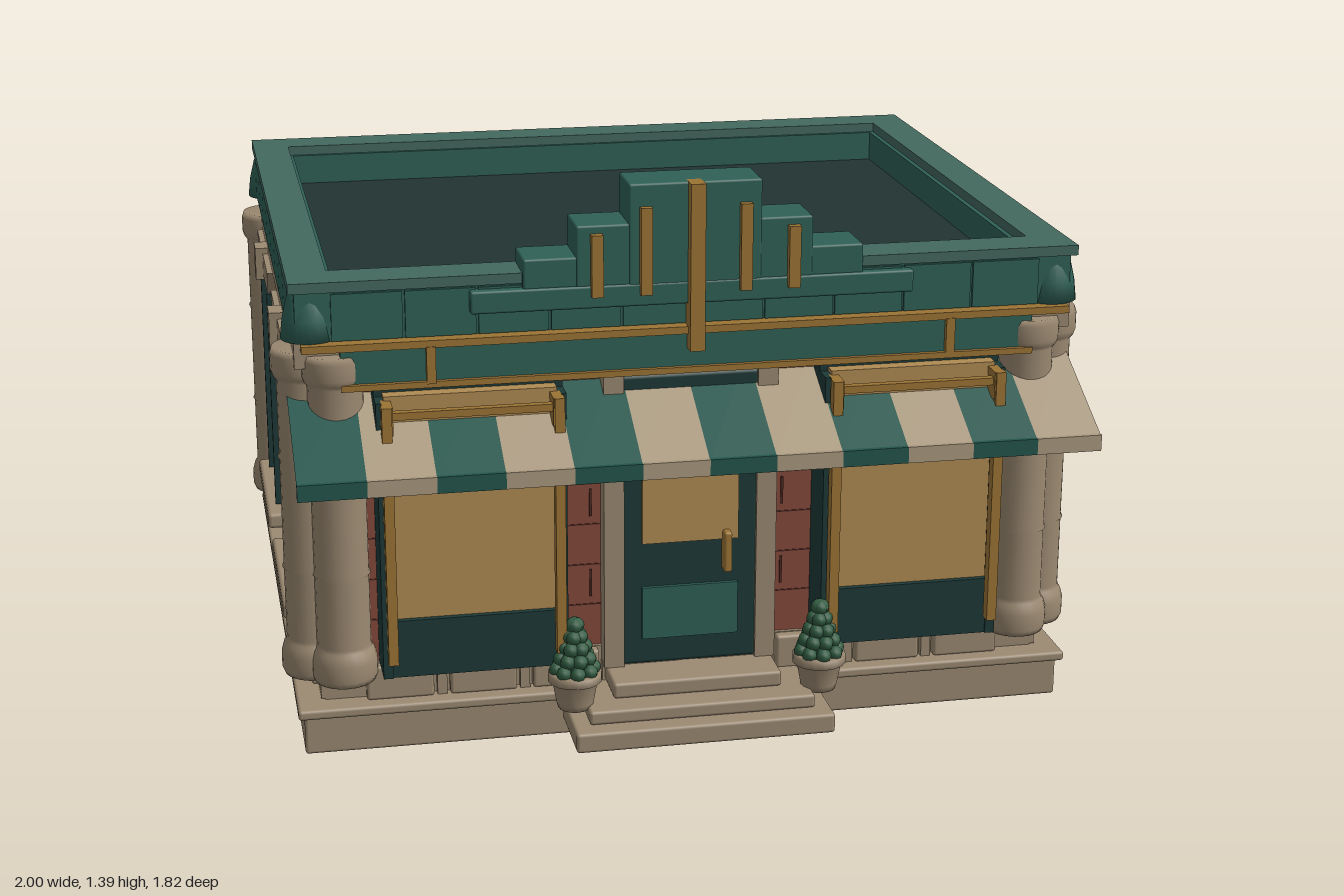
import * as THREE from 'three';
import { RoundedBoxGeometry } from 'three/addons/geometries/RoundedBoxGeometry.js';

const mat = (color, side = THREE.FrontSide) => new THREE.MeshStandardMaterial({ color, side });
const M = {
  stone: mat(0x9c8a72), brick: mat(0x844a3b), mortar: mat(0x4f2a22), green: mat(0x2f6156),
  top: mat(0x44695f), dark: mat(0x1d3a37), gold: mat(0x9c7435), pane: mat(0xb08c54),
  roof: mat(0x223331), leaf: mat(0x315c41),
  stripeGreen: mat(0x23564c, THREE.DoubleSide), stripeTan: mat(0xab9a80, THREE.DoubleSide),
};

function add(parent, name, geo, m, x = 0, y = 0, z = 0) {
  const mesh = new THREE.Mesh(geo, m);
  mesh.name = name;
  mesh.position.set(x, y, z);
  parent.add(mesh);
  return mesh;
}
// box given by its extents
function box(parent, name, m, x0, x1, y0, y1, z0, z1, r = 0) {
  const s = [x1 - x0, y1 - y0, z1 - z0];
  const geo = r ? new RoundedBoxGeometry(...s, 2, r) : new THREE.BoxGeometry(...s);
  return add(parent, name, geo, m, (x0 + x1) / 2, (y0 + y1) / 2, (z0 + z1) / 2);
}
function lathe(parent, name, m, pts, x, y, z, n = 24) {
  return add(parent, name, new THREE.LatheGeometry(pts.map(p => new THREE.Vector2(...p)), n), m, x, y, z);
}
function group(parent, name, x = 0, y = 0, z = 0, ry = 0) {
  const g = new THREE.Group();
  g.name = name;
  g.position.set(x, y, z);
  g.rotation.y = ry;
  parent.add(g);
  return g;
}

// sash window with sill, lintel and keystone; local z points out of the wall
function sashWindow(face, u) {
  const g = group(face, 'window', u);
  box(g, 'windowPane', M.pane, -0.16, 0.16, 0.33, 0.9, 0, 0.025);
  for (const s of [-1, 1]) {
    box(g, 'outerJamb', M.dark, s * 0.18 - 0.02, s * 0.18 + 0.02, 0.315, 0.93, 0, 0.055);
    box(g, 'innerJamb', M.dark, s * 0.155 - 0.01, s * 0.155 + 0.01, 0.315, 0.91, 0, 0.07);
  }
  box(g, 'headRail', M.dark, -0.2, 0.2, 0.88, 0.93, 0, 0.055);
  box(g, 'bottomRail', M.dark, -0.19, 0.19, 0.315, 0.345, 0, 0.055);
  box(g, 'mullion', M.dark, -0.009, 0.009, 0.36, 0.875, 0, 0.04);
  box(g, 'meetingRail', M.dark, -0.15, 0.15, 0.585, 0.607, 0, 0.045);
  box(g, 'sill', M.stone, -0.235, 0.235, 0.27, 0.312, 0, 0.095, 0.01);
  const wedge = (name, b, t, y0, y1, d) => {
    const s = new THREE.Shape([[-b, y0], [b, y0], [t, y1], [-t, y1]].map(p => new THREE.Vector2(...p)));
    add(g, name, new THREE.ExtrudeGeometry(s, { depth: d, bevelEnabled: false }), M.stone);
  };
  wedge('lintel', 0.205, 0.24, 0.925, 0.988, 0.07);
  wedge('keystone', 0.026, 0.036, 0.915, 1.005, 0.09);
}

// brick joints and foundation blocks along one wall
function wallDetails(face, half, offset) {
  for (let r = 0; r < 7; r++) {
    const y = 0.22 + r * 0.105;
    box(face, 'bedJoint', M.mortar, offset - half, offset + half, y + 0.102, y + 0.105, -0.01, 0.002);
    for (let u = -half + (r % 2 ? 0.1 : 0.22); u < half; u += 0.24)
      box(face, 'headJoint', M.mortar, offset + u - 0.003, offset + u + 0.003, y + 0.02, y + 0.09, -0.01, 0.004);
  }
  const n = Math.round(half / 0.1), w = 2 * half / n;
  for (let i = 0; i < n; i++) {
    const u = offset - half + w * (i + 0.5);
    box(face, 'foundationBlock', M.stone, u - w / 2 + 0.02, u + w / 2 - 0.02, 0.125, 0.213, -0.01, 0.035, 0.008);
    if (i) box(face, 'foundationPeg', M.stone, u - w / 2 - 0.012, u - w / 2 + 0.012, 0.125, 0.18, -0.01, 0.03);
  }
}

function clusteredColumns(root) {
  const profile = [[0, 0.185], [0.074, 0.185], [0.08, 0.2], [0.08, 0.24], [0.074, 0.262], [0.068, 0.27],
    [0.066, 0.28], [0.066, 0.455], [0.07, 0.46], [0.066, 0.465], [0.066, 0.735], [0.07, 0.74], [0.066, 0.745],
    [0.066, 0.935], [0.074, 0.945], [0.079, 0.96], [0.079, 1.0], [0.074, 1.015], [0, 1.015]];
  for (const sx of [-1, 1]) for (const front of [true, false]) {
    const g = group(root, 'cornerColumns');
    lathe(g, 'sideColumn', M.stone, profile, sx * 0.918, 0, front ? 0.59 : -0.765);
    lathe(g, 'faceColumn', M.stone, profile, sx * 0.85, 0, front ? 0.655 : -0.83);
    box(g, 'cornerPier', M.stone, sx * 0.86 - 0.05, sx * 0.86 + 0.05, 0.13, 1.04,
      (front ? 0.6 : -0.775) - 0.05, (front ? 0.6 : -0.775) + 0.05);
    // rounded flaring cap on the parapet corner
    lathe(g, 'cornerCap', M.green, [[0, 1.05], [0.068, 1.05], [0.062, 1.1], [0.05, 1.15], [0.03, 1.185], [0, 1.195]],
      sx * 0.905, 0, front ? 0.645 : -0.815);
  }
}

function parapet(root) {
  const zc = -0.087;
  const s = new THREE.Shape([[-0.955, -0.795], [0.955, -0.795], [0.955, 0.795], [-0.955, 0.795]].map(p => new THREE.Vector2(...p)));
  s.holes.push(new THREE.Path([[-0.858, -0.685], [-0.858, 0.685], [0.858, 0.685], [0.858, -0.685]].map(p => new THREE.Vector2(...p))));
  const ring = (name, m, y, depth, k) => {
    const geo = new THREE.ExtrudeGeometry(s, { depth, bevelEnabled: false }).rotateX(-Math.PI / 2);
    const mesh = add(root, name, geo, m, 0, y, zc);
    mesh.scale.set(k, 1, k);
  };
  ring('parapetCore', M.green, 1.05, 0.12, 0.985);
  ring('parapetCoping', M.top, 1.17, 0.025, 1);
  box(root, 'roof', M.roof, -0.87, 0.87, 1.02, 1.09, -0.78, 0.61);
  // panels with narrow seams between them
  for (const [half, dist, ry] of [[0.86, 0.785, 0], [0.86, 0.785, Math.PI], [0.7, 0.945, Math.PI / 2], [0.7, 0.945, -Math.PI / 2]]) {
    const g = group(root, 'parapetSide', 0, 0, zc, ry);
    const n = Math.round(half / 0.086), w = 2 * half / n;
    for (let i = 0; i < n; i++) {
      const u = -half + i * w;
      box(g, 'parapetPanel', M.green, u + 0.003, u + w - 0.003, 1.052, 1.165, dist - 0.03, dist + 0.007);
    }
  }
}

function storefront(root) {
  const g = group(root, 'storefront');
  // display windows with gold posts and rods
  for (const s of [-1, 1]) {
    const w = group(g, 'displayWindow', s * 0.54);
    box(w, 'displayFrame', M.dark, -0.225, 0.225, 0.215, 0.93, 0.6, 0.7);
    box(w, 'displayPane', M.pane, -0.205, 0.205, 0.36, 0.92, 0.69, 0.735);
    box(w, 'bulkhead', M.dark, -0.215, 0.215, 0.215, 0.36, 0.69, 0.75);
    for (const t of [-1, 1]) {
      box(w, 'goldPost', M.gold, t * 0.203 - 0.012, t * 0.203 + 0.012, 0.265, 0.91, 0.765, 0.795);
      box(w, 'frameEdge', M.dark, t * 0.213 - 0.012, t * 0.213 + 0.012, 0.215, 0.91, 0.69, 0.755);
      box(w, 'rodBracket', M.gold, t * 0.2 - 0.012, t * 0.2 + 0.012, 0.84, 0.91, 0.73, 0.79);
    }
    box(w, 'goldRod', M.gold, -0.21, 0.21, 0.875, 0.893, 0.76, 0.78);
    const strut = box(g, 'awningStrut', M.dark, s * 0.83 - 0.01, s * 0.83 + 0.01, 0.72, 0.74, 0.6, 0.895);
    strut.rotation.x = -0.24;
  }
  // door
  for (const s of [-1, 1]) box(g, 'doorSurround', M.stone, s * 0.19 - 0.025, s * 0.19 + 0.025, 0.17, 0.93, 0.6, 0.69);
  box(g, 'door', M.dark, -0.17, 0.17, 0.17, 0.92, 0.6, 0.68, 0.01);
  box(g, 'doorPane', M.pane, -0.12, 0.12, 0.49, 0.86, 0.66, 0.69);
  box(g, 'doorPanel', M.green, -0.12, 0.12, 0.24, 0.375, 0.66, 0.69);
  box(g, 'doorHandle', M.gold, 0.08, 0.1, 0.41, 0.515, 0.675, 0.715, 0.006);
  // steps
  box(g, 'lowerStep', M.stone, -0.32, 0.32, 0.045, 0.095, 0.66, 0.9, 0.008);
  box(g, 'middleStep', M.stone, -0.28, 0.28, 0.095, 0.13, 0.66, 0.855, 0.008);
  box(g, 'upperStep', M.stone, -0.21, 0.21, 0.13, 0.17, 0.62, 0.79, 0.008);
  // striped awning: sloping strip plus a short valance
  const w = 1.925 / 12, dz = 0.325, dy = 0.165;
  for (let i = 0; i < 12; i++) {
    const m = i % 2 ? M.stripeTan : M.stripeGreen, x = -0.9625 + (i + 0.5) * w;
    const slope = add(g, 'awningStripe', new THREE.PlaneGeometry(w, Math.hypot(dz, dy)), m, x, 0.935 - dy / 2, 0.58 + dz / 2);
    slope.rotation.x = -Math.atan2(dz, dy);
    box(g, 'awningValance', m, x - w / 2, x + w / 2, 0.735, 0.775, 0.895, 0.908);
  }
  // sign band
  box(g, 'signBand', M.green, -0.84, 0.84, 0.95, 1.035, 0.6, 0.72);
  box(g, 'signTopTrim', M.gold, -0.93, 0.93, 1.032, 1.05, 0.66, 0.732);
  box(g, 'signBottomTrim', M.gold, -0.84, 0.84, 0.935, 0.95, 0.62, 0.732);
  for (const s of [-1, 1]) box(g, 'signClip', M.gold, s * 0.63 - 0.011, s * 0.63 + 0.011, 0.945, 1.035, 0.7, 0.735);
  // stepped pediment and its gold ribs
  for (const [hw, y0, y1, z1] of [[0.535, 1.105, 1.16, 0.728], [0.41, 1.15, 1.23, 0.722], [0.285, 1.15, 1.305, 0.724], [0.16, 1.15, 1.4, 0.726]])
    box(g, 'pedimentStep', M.green, -hw, hw, y0, y1, 0.595, z1, 0.006);
  for (const [x, y0, y1, hw] of [[0, 0.995, 1.4, 0.018], [0.12, 1.135, 1.345, 0.014], [-0.12, 1.135, 1.345, 0.014], [0.237, 1.135, 1.285, 0.014], [-0.237, 1.135, 1.285, 0.014]])
    box(g, 'pedimentRib', M.gold, x - hw, x + hw, y0, y1, 0.7, x ? 0.745 : 0.757);
}

function planter(root, x) {
  const g = group(root, 'planter', x, 0, 0.785);
  lathe(g, 'pot', M.stone, [[0, 0.12], [0.042, 0.12], [0.046, 0.135], [0.055, 0.185], [0.066, 0.19], [0.066, 0.21], [0.055, 0.212], [0, 0.205]], 0, 0, 0, 16);
  for (let k = 0; k < 5; k++) {
    const r = 0.045 - k * 0.01, n = 8 - k;
    for (let i = 0; i < n; i++) {
      const a = (i + k * 0.5) / n * Math.PI * 2;
      add(g, 'leafCluster', new THREE.SphereGeometry(0.019, 8, 6), M.leaf, Math.cos(a) * r, 0.22 + k * 0.028, Math.sin(a) * r);
    }
  }
  lathe(g, 'shrubCore', M.leaf, [[0, 0.2], [0.048, 0.2], [0.012, 0.34], [0, 0.35]], 0, 0, 0, 12);
}

export function createModel() {
  const root = new THREE.Group();
  root.name = 'cornerShop';
  // base and walls
  box(root, 'plinth', M.stone, -0.955, 0.955, 0.005, 0.105, -0.87, 0.695, 0.008);
  box(root, 'plinthLip', M.stone, -0.97, 0.97, 0.102, 0.127, -0.887, 0.713, 0.008);
  box(root, 'foundationCourse', M.stone, -0.9, 0.9, 0.12, 0.215, -0.82, 0.65);
  box(root, 'brickWalls', M.brick, -0.89, 0.89, 0.2, 1.0, -0.81, 0.64);
  box(root, 'stoneCornice', M.stone, -0.945, 0.945, 0.985, 1.052, -0.865, 0.69);
  // walls seen from outside: local x runs along the wall, local z points out
  const right = group(root, 'rightWall', 0.89, 0, 0, Math.PI / 2);
  const left = group(root, 'leftWall', -0.89, 0, 0, -Math.PI / 2);
  const back = group(root, 'backWall', 0, 0, -0.81, Math.PI);
  const front = group(root, 'frontWall', 0, 0, 0.64);
  for (const z of [0.235, -0.41]) {
    sashWindow(right, -z);
    sashWindow(left, z);
  }
  for (const x of [-0.56, 0, 0.56]) sashWindow(back, x);
  wallDetails(right, 0.66, 0.087);
  wallDetails(left, 0.66, -0.087);
  wallDetails(back, 0.82, 0);
  wallDetails(front, 0.82, 0);
  clusteredColumns(root);
  parapet(root);
  storefront(root);
  for (const s of [-1, 1]) planter(root, s * 0.305);
  return root;
}
